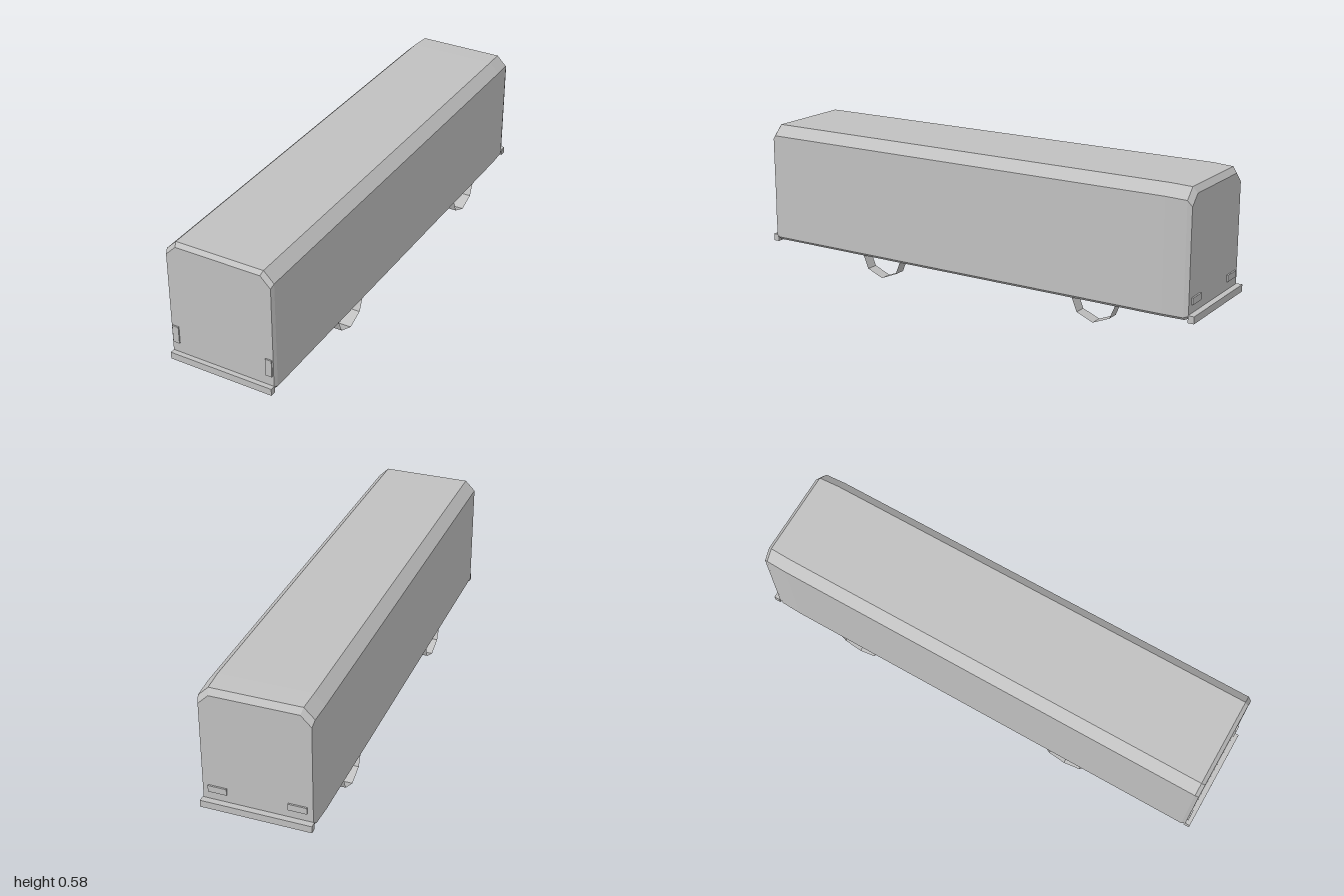
import * as THREE from 'three';

const paint = new THREE.MeshStandardMaterial({ color: 0xc0c0c0 });
paint.name = 'greyPaint';
const wheelPaint = new THREE.MeshStandardMaterial({ color: 0xc0c0c0, side: THREE.DoubleSide });
wheelPaint.name = 'greyWheelPaint';
paint.flatShading = wheelPaint.flatShading = true;

// Closed loft through cross-sections listed front to back, each counter-clockwise seen from +z
function loft(rings) {
  const pos = [];
  const tri = (...pts) => pts.forEach(p => pos.push(...p));
  const n = rings[0].length;
  for (let i = 0; i < rings.length - 1; i++) {
    for (let k = 0; k < n; k++) {
      const m = (k + 1) % n;
      const a = rings[i][k], b = rings[i][m], c = rings[i + 1][m], d = rings[i + 1][k];
      tri(a, d, c);
      tri(a, c, b);
    }
  }
  const front = rings[0], back = rings[rings.length - 1];
  for (let k = 1; k < n - 1; k++) {
    tri(front[0], front[k], front[k + 1]);
    tri(back[0], back[k + 1], back[k]);
  }
  const g = new THREE.BufferGeometry();
  g.setAttribute('position', new THREE.Float32BufferAttribute(pos, 3));
  g.computeVertexNormals();
  return g;
}

// Body cross-section: chamfered roof corners and a small chamfer along the sill
function section(z, halfWidth, bottom, top) {
  const c = 0.042;
  const right = [
    [halfWidth - 0.01, bottom],
    [halfWidth, bottom + 0.011],
    [halfWidth, top - c],
    [halfWidth - c, top],
  ];
  const left = right.map(([x, y]) => [-x, y]).reverse();
  return [...right, ...left].map(([x, y]) => [x, y, z]);
}

export function createModel() {
  const group = new THREE.Group();
  group.name = 'bus';

  const add = (name, geometry, x, y, z, material = paint) => {
    const mesh = new THREE.Mesh(geometry, material);
    mesh.name = name;
    mesh.position.set(x, y, z);
    group.add(mesh);
    return mesh;
  };

  // Body shell, bevelled at the nose and easing in towards the tail
  add('body', loft([
    section(0.98, 0.22, 0.09, 0.57),
    section(0.965, 0.226, 0.083, 0.585),
    section(-0.87, 0.226, 0.083, 0.585),
    section(-0.957, 0.222, 0.083, 0.581),
    section(-0.975, 0.216, 0.09, 0.558),
  ]), 0, 0, 0);

  // Bumpers
  add('frontBumper', new THREE.BoxGeometry(0.44, 0.029, 0.025), 0, 0.0865, 0.9875);
  add('rearBumper', new THREE.BoxGeometry(0.44, 0.029, 0.025), 0, 0.091, -0.9875);

  for (const side of [1, -1]) {
    const label = side > 0 ? 'left' : 'right';

    // Lamps
    add(label + 'Headlight', new THREE.BoxGeometry(0.027, 0.073, 0.009), side * 0.2015, 0.18, 0.981);
    add(label + 'TailLight', new THREE.BoxGeometry(0.074, 0.027, 0.009), side * 0.157, 0.153, -0.977);

    // Wheels: open eight-sided bands with a corner at the ground
    for (const [axle, z] of [['Front', 0.42], ['Rear', -0.58]]) {
      const band = new THREE.CylinderGeometry(0.1, 0.1, 0.052, 8, 1, true);
      band.rotateZ(Math.PI / 2);
      add(label + axle + 'Wheel', band, side * 0.191, 0.1, z, wheelPaint);
    }
  }
  return group;
}
